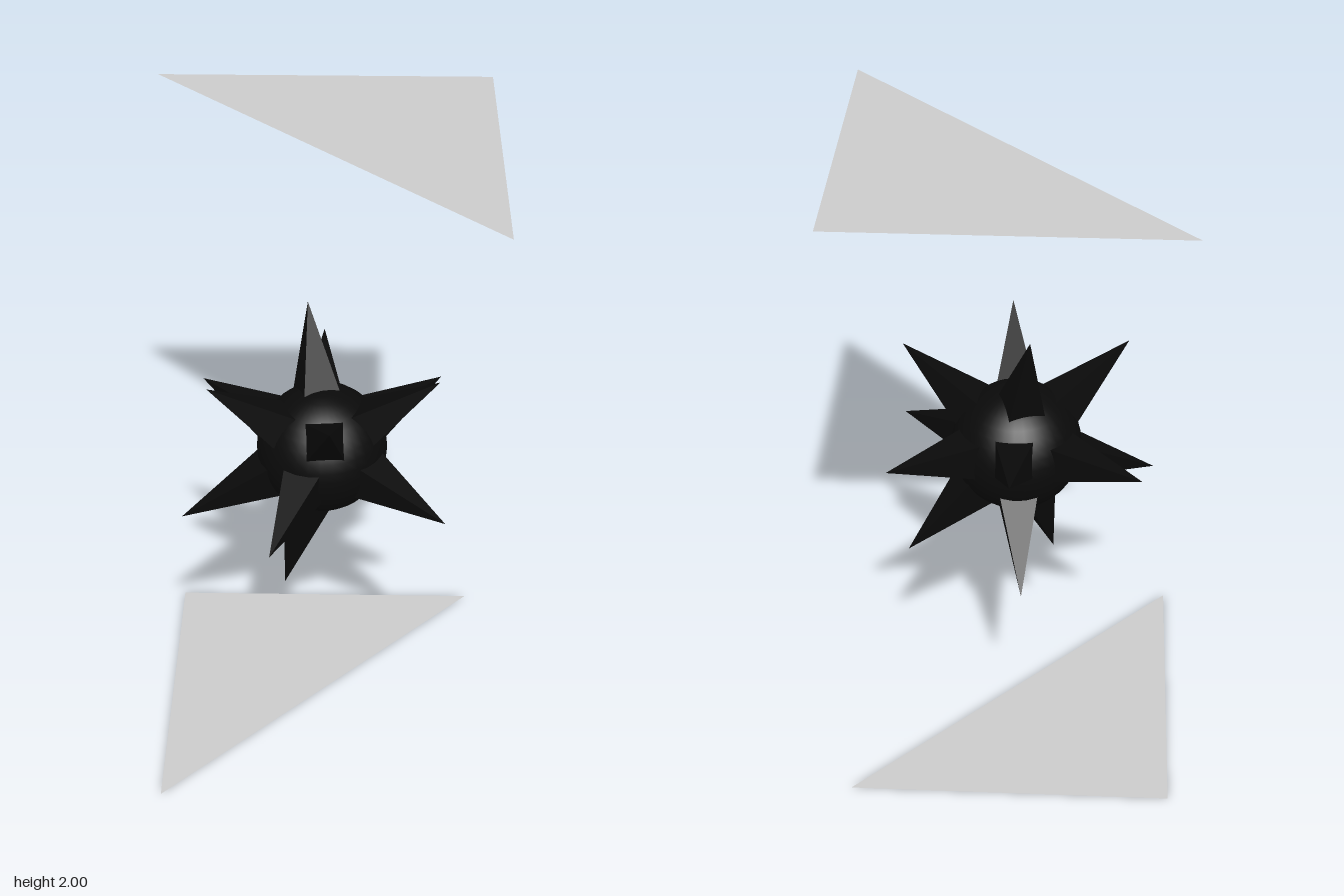
import * as THREE from 'three';

const grey = new THREE.MeshStandardMaterial({ color: 0xcccccc, side: THREE.DoubleSide });
const black = new THREE.MeshStandardMaterial({ color: 0x0a0a0a });
const blackFlat = new THREE.MeshStandardMaterial({ color: 0x0a0a0a, flatShading: true });

// Spike tips, relative to the centre of the ball
const TIPS = [
  [-0.045, 0.44, -0.125], [-0.336, 0.295, 0.14], [0.35, 0.295, 0.09],
  [0.028, 0.292, 0.366], [-0.382, 0.066, -0.273], [0.372, 0.077, -0.28],
  [0.372, -0.083, 0.28], [-0.427, -0.172, 0.14], [0.33, -0.318, -0.135],
  [-0.115, -0.462, 0.09], [-0.03, -0.318, -0.352], [-0.145, -0.083, 0.45],
  [0, 0.151, -0.44],
];
const BASE = 0.17; // distance of each spike's base from the centre

// Flat horizontal triangle from three [x, z] corners
function triangle(name, corners, y) {
  const geometry = new THREE.BufferGeometry();
  geometry.setAttribute('position', new THREE.Float32BufferAttribute(
    corners.flatMap(([x, z]) => [x, y, z]), 3));
  geometry.computeVertexNormals();
  const mesh = new THREE.Mesh(geometry, grey);
  mesh.name = name;
  return mesh;
}

// Four-sided spike pointing out of the ball
function spike(tip) {
  const end = new THREE.Vector3(...tip);
  const height = end.length() - BASE;
  const geometry = new THREE.ConeGeometry(0.083, height, 4)
    .rotateY(Math.PI / 4)
    .rotateX(Math.PI / 2)
    .translate(0, 0, BASE + height / 2);
  const mesh = new THREE.Mesh(geometry, blackFlat);
  mesh.lookAt(end);
  mesh.name = 'spike';
  return mesh;
}

export function createModel() {
  const model = new THREE.Group();
  model.name = 'spikedBall';

  // Ball with its spikes
  const ball = new THREE.Group();
  ball.name = 'ball';
  const core = new THREE.Mesh(new THREE.SphereGeometry(0.2, 32, 20), black);
  core.name = 'core';
  ball.add(core, ...TIPS.map(spike));
  ball.position.y = 1;

  // Thin triangles above and below, wound to face upwards
  model.add(
    ball,
    triangle('upperTriangle', [[-0.5, -0.5], [0.5, 0.5], [0.5, -0.5]], 2),
    triangle('lowerTriangle', [[-0.5, -0.5], [-0.5, 0.5], [0.5, -0.5]], 0),
  );
  return model;
}
